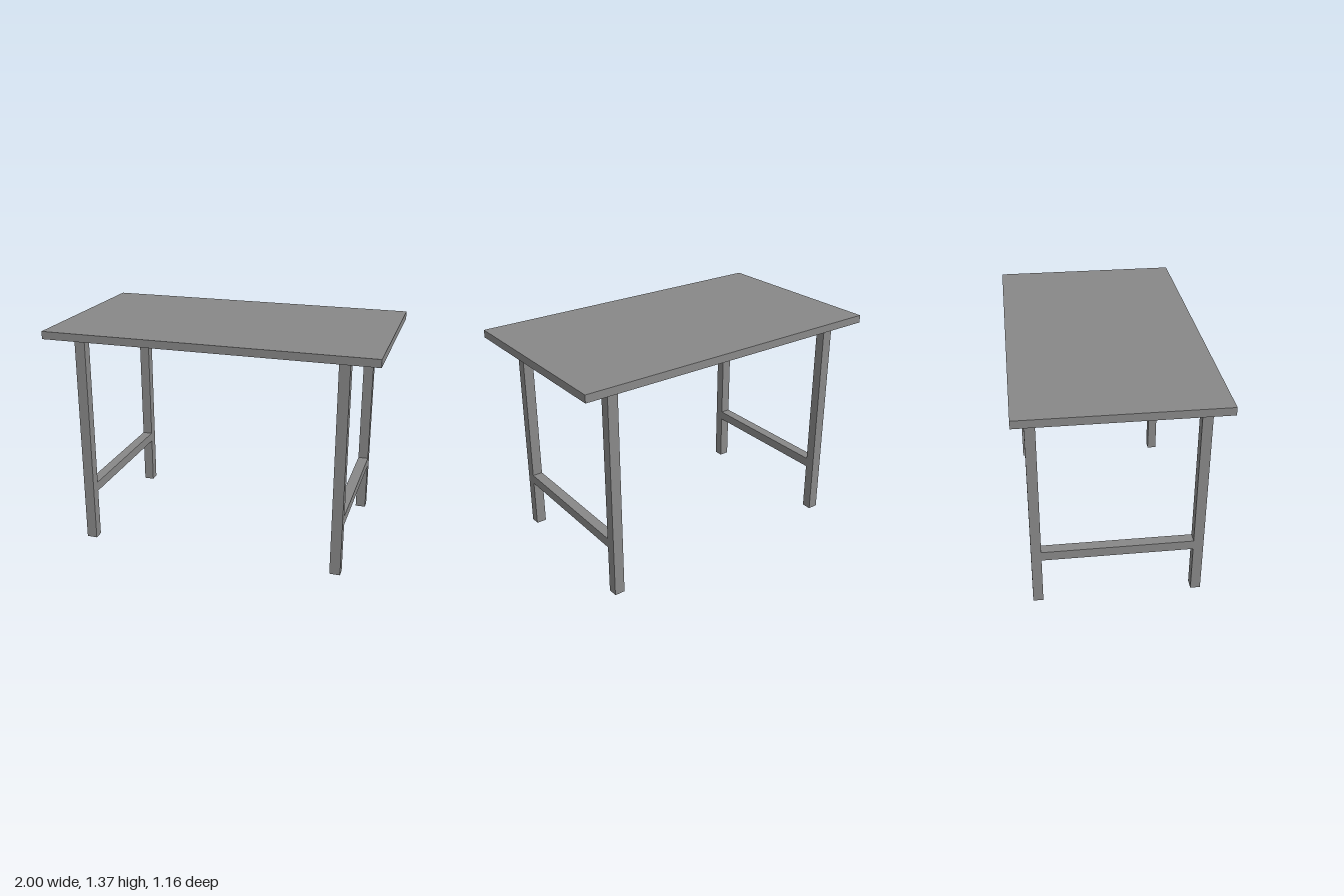
import * as THREE from 'three';

export function createModel() {
  const model = new THREE.Group();
  model.name = 'table';
  const grey = new THREE.MeshStandardMaterial({ color: 0x888888 });
  grey.name = 'grey';

  function addBox(name, w, h, d, x, y, z) {
    const mesh = new THREE.Mesh(new THREE.BoxGeometry(w, h, d), grey);
    mesh.name = name;
    mesh.position.set(x, y, z);
    model.add(mesh);
  }

  const height = 1.367, topThickness = 0.047;
  const legHeight = height - topThickness;
  const legWidth = 0.064, legDepth = 0.06;
  const legX = 0.794, legZ = 0.479;

  // Table top
  addBox('tableTop', 2, topThickness, 1.162, 0, height - topThickness / 2, 0);

  // Two leg frames: a front leg, a back leg and a rail flush between them
  for (const [side, sx] of [['left', 1], ['right', -1]]) {
    for (const [end, sz] of [['Front', 1], ['Back', -1]]) {
      addBox(`${side}${end}Leg`, legWidth, legHeight, legDepth, sx * legX, legHeight / 2, sz * legZ);
    }
    addBox(`${side}Rail`, legWidth, 0.059, 2 * legZ - legDepth, sx * legX, 0.336, 0);
  }
  return model;
}
